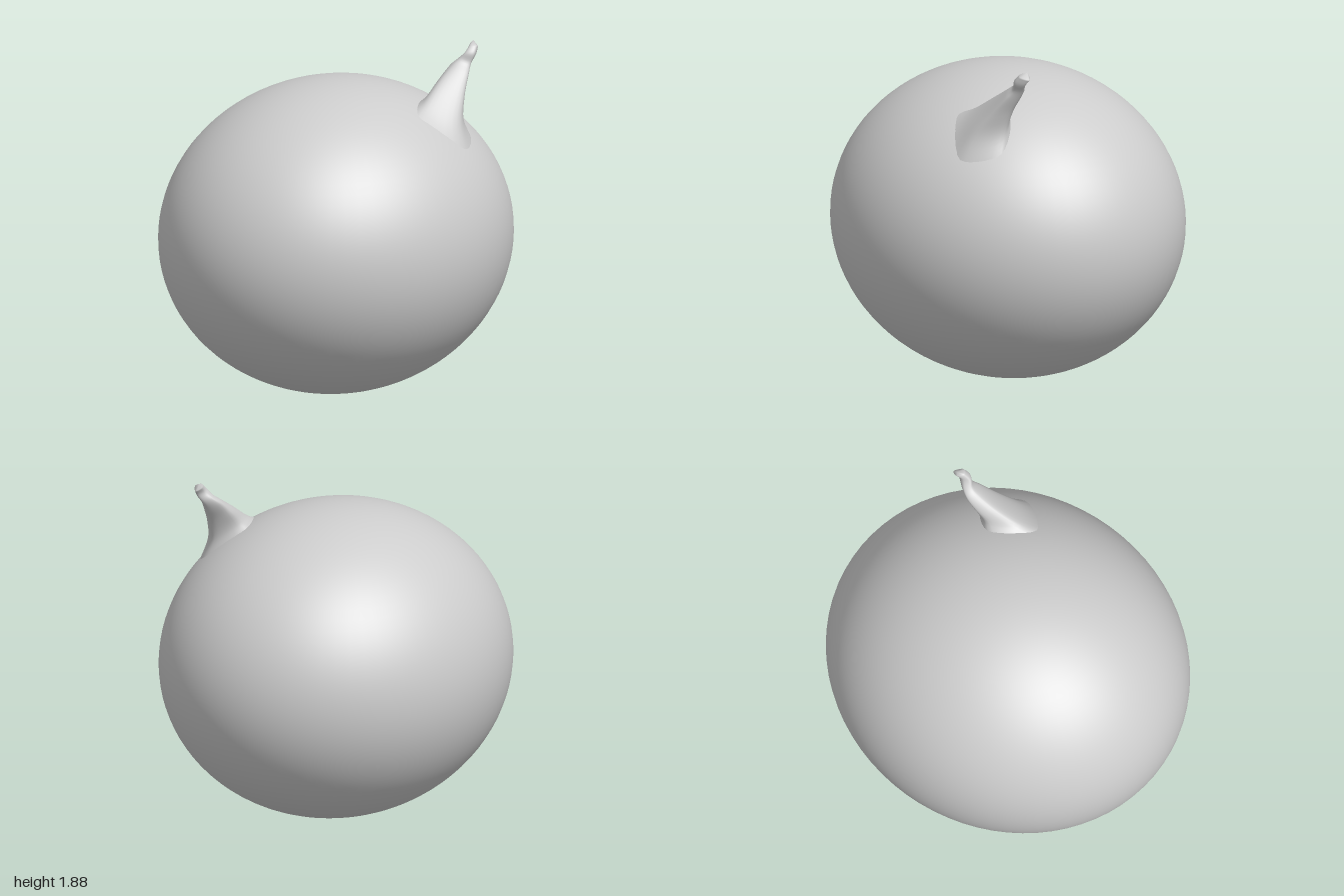
import * as THREE from 'three';

const RADII = new THREE.Vector3(1.0, 0.85, 0.9);
const CENTRE_Y = 0.85;

// Point just beneath the bulb's upper surface at the given x and z
function onBulb(x, z) {
  const h = Math.sqrt(1 - (x / RADII.x) ** 2 - (z / RADII.z) ** 2);
  return [x, CENTRE_Y + RADII.y * h - 0.012, z];
}

// Skin four guide rails (left, front, right, back) with smooth closed rings
function loftRails(rails, tip, rows, cols) {
  const curves = rails.map((r) =>
    new THREE.CatmullRomCurve3(r.map((p) => new THREE.Vector3(...p)), false, 'centripetal'));
  const pos = [], index = [];
  for (let j = 0; j <= rows; j++) {
    const ring = new THREE.CatmullRomCurve3(curves.map((c) => c.getPoint(j / rows)), true, 'centripetal');
    for (let i = 0; i < cols; i++) pos.push(...ring.getPoint(i / cols).toArray());
  }
  const end = pos.length / 3;
  pos.push(...tip);
  for (let i = 0; i < cols; i++) {
    const n = (i + 1) % cols;
    for (let j = 0; j < rows; j++) {
      const a = j * cols + i, b = j * cols + n;
      index.push(a, b, b + cols, a, b + cols, a + cols);
    }
    index.push(rows * cols + i, rows * cols + n, end);
  }
  const geo = new THREE.BufferGeometry();
  geo.setAttribute('position', new THREE.Float32BufferAttribute(pos, 3));
  geo.setIndex(index);
  geo.computeVertexNormals();
  return geo;
}

export function createModel() {
  const group = new THREE.Group();
  group.name = 'bulb';
  const skin = new THREE.MeshStandardMaterial({ color: 0xcccccc });
  skin.name = 'pale grey';

  // Squashed round body
  const bodyGeo = new THREE.SphereGeometry(1, 72, 48);
  bodyGeo.scale(RADII.x, RADII.y, RADII.z);
  bodyGeo.translate(0, CENTRE_Y, 0);
  const body = new THREE.Mesh(bodyGeo, skin);
  body.name = 'body';
  group.add(body);

  // Leaning stem: flared foot, narrowing neck, hooked tip
  const left = [onBulb(0.1, 0.5), [0.21, 1.595, 0.46], [0.35, 1.69, 0.43],
    [0.46, 1.763, 0.425], [0.505, 1.795, 0.43], [0.53, 1.83, 0.45], [0.57, 1.868, 0.45]];
  const front = [onBulb(0.31, 0.66), [0.34, 1.5, 0.59], [0.42, 1.62, 0.535],
    [0.5, 1.72, 0.495], [0.54, 1.77, 0.475], [0.56, 1.82, 0.485], [0.59, 1.86, 0.475]];
  const right = [onBulb(0.49, 0.52), [0.465, 1.52, 0.47], [0.495, 1.63, 0.455],
    [0.54, 1.71, 0.44], [0.573, 1.762, 0.435], [0.605, 1.81, 0.45], [0.63, 1.845, 0.44]];
  const back = [onBulb(0.34, 0.33), [0.37, 1.615, 0.36], [0.44, 1.69, 0.365],
    [0.5, 1.755, 0.375], [0.54, 1.79, 0.4], [0.565, 1.825, 0.43], [0.6, 1.86, 0.422]];
  const stem = new THREE.Mesh(loftRails([left, front, right, back], [0.605, 1.88, 0.435], 30, 28), skin);
  stem.name = 'stem';
  group.add(stem);

  return group;
}
